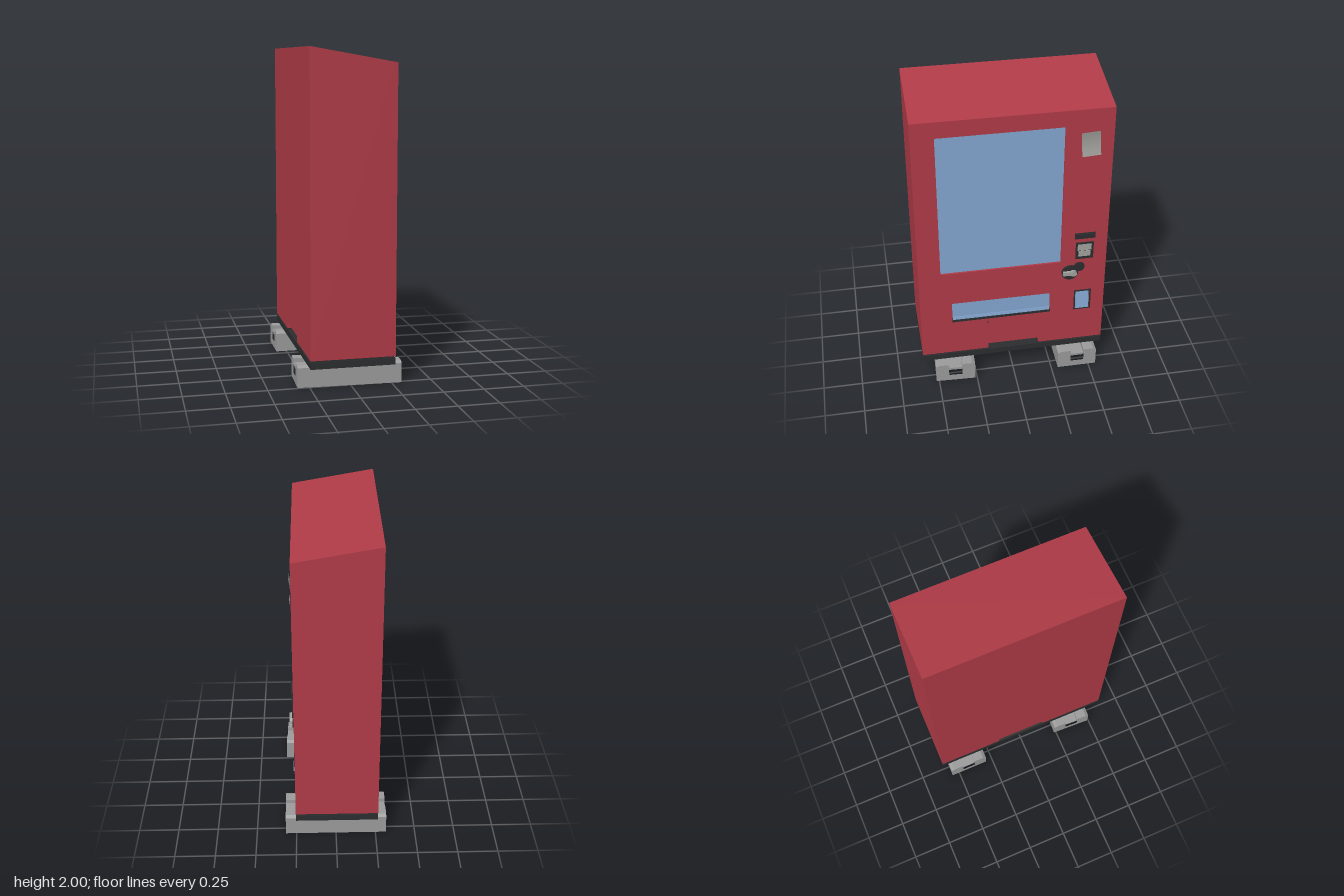
import * as THREE from 'three';

const mat = (name, color) => Object.assign(new THREE.MeshStandardMaterial({ color }), { name });

export function createModel() {
  const red = mat('red paint', 0xb03b47);
  const blue = mat('blue glass', 0x83a6cf);
  const dark = mat('black plastic', 0x2b2d2e);
  const concrete = mat('grey concrete', 0x9b9b9b);
  const metal = mat('light metal', 0xa2a29e);
  const model = new THREE.Group();
  model.name = 'vendingMachine';

  const BACK = -0.262, FACE = 0.252, SKIN = 0.234, HALF = 0.593;

  const add = (name, geo, material, parent = model) => {
    const m = new THREE.Mesh(geo, material);
    m.name = name;
    parent.add(m);
    return m;
  };
  // Box given by its extents
  const box = (name, material, x0, x1, y0, y1, z0, z1, parent) => {
    const m = add(name, new THREE.BoxGeometry(x1 - x0, y1 - y0, z1 - z0), material, parent);
    m.position.set((x0 + x1) / 2, (y0 + y1) / 2, (z0 + z1) / 2);
    return m;
  };
  // Outline in (-z, y), extruded along x
  const points = (list) => list.map(([z, y]) => new THREE.Vector2(-z, y));
  const rect = (z0, z1, y0, y1) => [[z0, y0], [z1, y0], [z1, y1], [z0, y1]];
  const slab = (outline, holes, x0, x1) => {
    const s = new THREE.Shape(points(outline));
    s.holes = holes.map((h) => new THREE.Path(points(h)));
    const g = new THREE.ExtrudeGeometry(s, { depth: x1 - x0, bevelEnabled: false });
    return g.rotateY(Math.PI / 2).translate(x0, 0, 0);
  };
  // Lower the roof towards the face
  const slopeRoof = (g) => {
    const p = g.attributes.position;
    for (let i = 0; i < p.count; i++) {
      if (p.getY(i) > 1.95) p.setY(i, 2 - (p.getX(i) - BACK) * 0.09 / (FACE - BACK));
    }
    g.computeVertexNormals();
    return g;
  };

  // Cabinet with a notch under it, and a face panel with recessed openings
  const outline = [[HALF, 0.188], [0.162, 0.188], [0.162, 0.226], [-0.17, 0.226],
    [-0.17, 0.188], [-HALF, 0.188], [-HALF, 2], [HALF, 2]];
  const openings = [rect(-0.302, 0.455, 0.832, 1.805), rect(-0.24, 0.391, 0.445, 0.593),
    rect(-0.5, -0.402, 0.445, 0.588)];
  add('cabinet', slopeRoof(slab(outline, [], BACK, SKIN)), red);
  add('facePanel', slopeRoof(slab(outline, openings, SKIN, FACE)), red);
  box('displayWindow', blue, SKIN, 0.24, 0.832, 1.805, -0.302, 0.455);

  // Base plate and the seam above it
  box('basePlate', dark, BACK, FACE, 0.137, 0.177, -HALF, HALF);
  box('baseSeamLeft', dark, BACK + 0.008, FACE - 0.008, 0.177, 0.188, 0.162, HALF - 0.008);
  box('baseSeamRight', dark, BACK + 0.008, FACE - 0.008, 0.177, 0.188, -HALF + 0.008, -0.17);

  // Delivery tray
  const tray = new THREE.Group();
  tray.name = 'deliveryTray';
  model.add(tray);
  box('trayGlass', blue, SKIN, 0.242, 0.47, 0.593, -0.24, 0.391, tray);
  const flap = box('trayFlap', blue, 0.249, 0.255, 0.462, 0.482, -0.237, 0.388, tray);
  flap.rotation.z = 0.15;
  box('trayLip', dark, SKIN, 0.256, 0.443, 0.459, -0.242, 0.393, tray);

  // Coin return with a tilted flap
  const coinReturn = new THREE.Group();
  coinReturn.name = 'coinReturn';
  model.add(coinReturn);
  box('coinReturnBack', dark, SKIN, 0.238, 0.445, 0.588, -0.5, -0.402, coinReturn);
  add('coinReturnFrame', slab(rect(-0.507, -0.397, 0.438, 0.594),
    [rect(-0.497, -0.405, 0.448, 0.585)], FACE, 0.256), dark, coinReturn);
  box('coinReturnFlap', blue, 0.248, 0.254, 0.451, 0.58, -0.494, -0.408, coinReturn).rotation.z = 0.13;

  // Curled notice
  const notice = new THREE.PlaneGeometry(0.112, 0.162, 4, 6).rotateY(Math.PI / 2);
  const np = notice.attributes.position;
  for (let i = 0; i < np.count; i++) {
    const t = np.getY(i) / 0.081;
    np.setX(i, 0.003 + 0.009 * t * t);
  }
  notice.computeVertexNormals();
  const paper = metal.clone();
  paper.name = 'notice paper';
  paper.side = THREE.DoubleSide;
  const sheet = add('notice', notice, paper);
  sheet.position.set(FACE, 1.685, -0.456);
  sheet.rotation.x = 0.06;

  // Banknote slot
  box('noteSlotBody', dark, FACE, 0.257, 1.005, 1.045, -0.515, -0.385);
  add('noteSlotRim', slab(rect(-0.508, -0.392, 1.009, 1.041),
    [rect(-0.497, -0.403, 1.021, 1.03)], 0.257, 0.265), dark);

  // Payment panel
  add('paymentFrame', slab(rect(-0.506, -0.394, 0.853, 0.974),
    [rect(-0.496, -0.404, 0.862, 0.965)], FACE, 0.262), dark);
  box('paymentBacking', dark, FACE, 0.254, 0.855, 0.972, -0.504, -0.396);
  box('paymentScreen', metal, 0.254, 0.258, 0.914, 0.963, -0.494, -0.406);
  box('paymentKeys', metal, 0.254, 0.258, 0.868, 0.909, -0.488, -0.412);

  // Lock plates and turning handle
  const disc = (name, r, z, y, depth, material) => {
    const m = add(name, new THREE.CylinderGeometry(r, r, depth, 24).rotateZ(Math.PI / 2), material);
    m.position.set(FACE + depth / 2, y, z);
  };
  disc('lockPlate', 0.053, -0.362, 0.75, 0.011, dark);
  disc('coinSlotPlate', 0.034, -0.421, 0.788, 0.009, dark);
  disc('handleHub', 0.022, -0.382, 0.75, 0.026, metal);
  box('handleLever', metal, 0.264, 0.28, 0.74, 0.766, -0.384, -0.315);
  box('handleTip', metal, 0.264, 0.274, 0.729, 0.746, -0.405, -0.378).rotation.x = 0.5;
  disc('keyhole', 0.005, 0.162, 0.41, 0.002, dark);

  // Concrete feet: grooved on top, with a blind pocket at each end
  const footOutline = [[-0.128, 0], [0.128, 0], [0.128, 0.12], [0.108, 0.132], [0.042, 0.132],
    [0.042, 0.106], [-0.042, 0.106], [-0.042, 0.132], [-0.108, 0.132], [-0.128, 0.12]];
  const footGeo = slab(footOutline, [rect(-0.044, 0.044, 0.045, 0.094)], -0.317, 0.317);
  for (const [name, z, turn] of [['leftFoot', 0.377, -0.04], ['rightFoot', -0.422, 0]]) {
    const foot = new THREE.Group();
    foot.name = name;
    foot.position.z = z;
    foot.rotation.y = turn;
    add('footBlock', footGeo, concrete, foot);
    box('footPocketBack', concrete, -0.27, 0.27, 0.045, 0.094, -0.044, 0.044, foot);
    model.add(foot);
  }
  return model;
}
